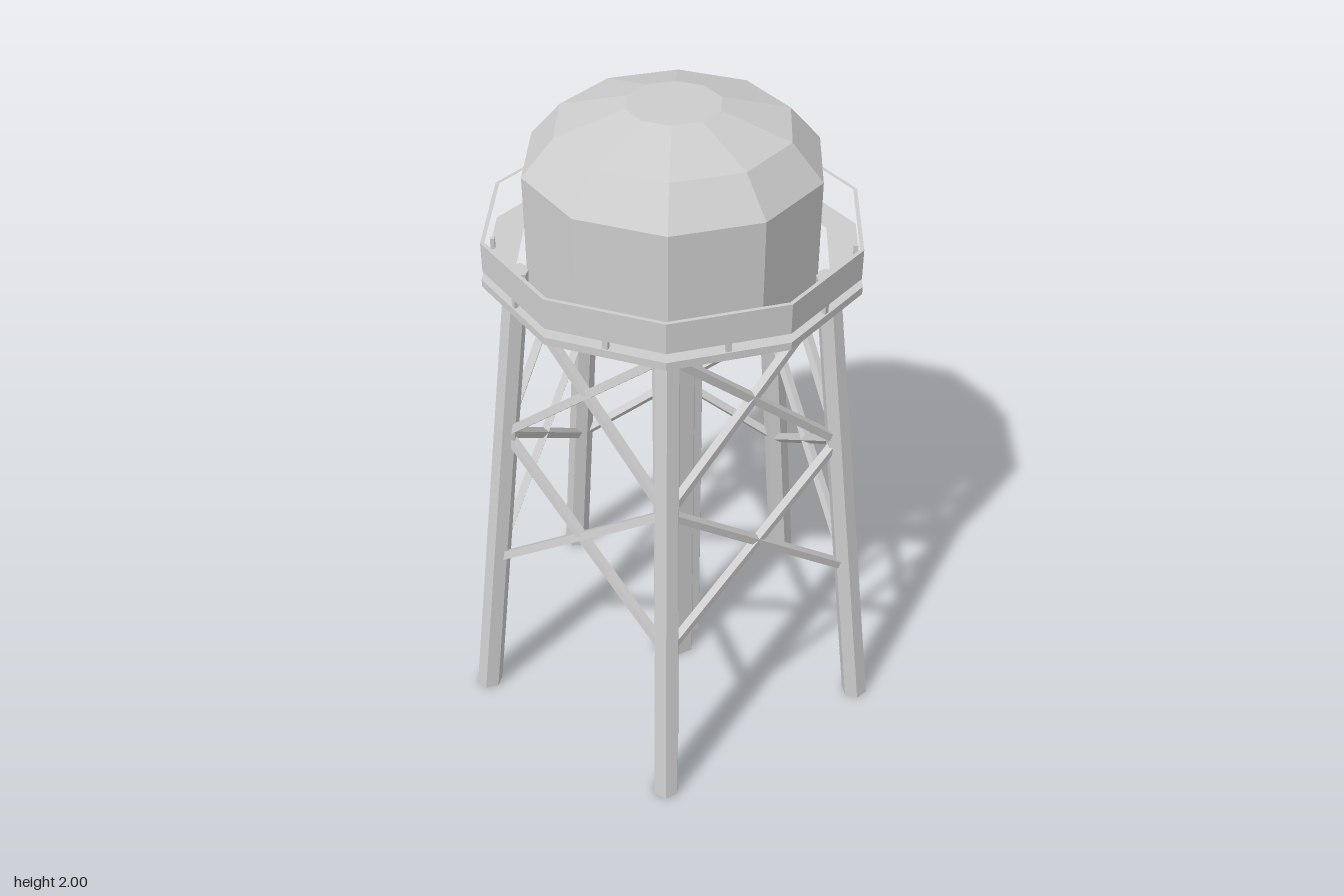
import * as THREE from 'three';

const AXIS_Z = -0.048;          // tower axis
const LEG_TOP = 1.56;

export function createModel() {
  const tower = new THREE.Group();
  tower.name = 'waterTower';
  const metal = new THREE.MeshStandardMaterial({ color: 0xcccccc, flatShading: true });
  metal.name = 'paintedMetal';

  const body = new THREE.Group();
  body.name = 'towerBody';
  body.position.z = AXIS_Z;
  tower.add(body);

  const add = (name, geometry, parent = body) => {
    const mesh = new THREE.Mesh(geometry, metal);
    mesh.name = name;
    parent.add(mesh);
    return mesh;
  };
  const group = (name) => {
    const g = new THREE.Group();
    g.name = name;
    body.add(g);
    return g;
  };
  const polar = (radius, angle, y) =>
    new THREE.Vector3(radius * Math.sin(angle), y, radius * Math.cos(angle));

  // Ten-sided tank with faceted dome and bowl
  const profile = [
    [0, 1.345], [0.133, 1.345], [0.33, 1.403], [0.42, 1.505],
    [0.42, 1.84], [0.33, 1.942], [0.133, 2], [0, 2],
  ].map(([r, y]) => new THREE.Vector2(r, y));
  add('tank', new THREE.LatheGeometry(profile, 10));

  // Ten-sided flat rings for the walkway and its railing
  const decagon = (radius, Type) => {
    const points = [];
    for (let i = 0; i < 10; i++) {
      const p = polar(radius, i * Math.PI / 5, 0);
      points.push(new THREE.Vector2(p.x, p.z));
    }
    return new Type(points);
  };
  const ring = (name, outer, inner, y0, y1) => {
    const shape = decagon(outer, THREE.Shape);
    shape.holes.push(decagon(inner, THREE.Path));
    const geometry = new THREE.ExtrudeGeometry(shape, { depth: y1 - y0, bevelEnabled: false });
    geometry.rotateX(-Math.PI / 2).translate(0, y0, 0);
    add(name, geometry);
  };
  ring('walkway', 0.547, 0.457, 1.522, 1.545);
  ring('railing', 0.543, 0.531, 1.57, 1.66);

  // Short posts holding the railing above the walkway
  const posts = group('railingPosts');
  for (let i = 0; i < 10; i++) {
    const angle = (i + 0.5) * Math.PI / 5;
    const post = add('railingPost', new THREE.BoxGeometry(0.015, 0.04, 0.012), posts);
    post.position.copy(polar(0.51, angle, 1.557));
    post.rotation.y = angle;
  }

  // Leaning six-sided legs, cut level at both ends
  const legRadius = (y) => THREE.MathUtils.lerp(0.632, 0.448, y / LEG_TOP);
  const legAngle = (i) => i * Math.PI * 2 / 5;
  const legs = group('legs');
  for (let i = 0; i < 5; i++) {
    const geometry = new THREE.CylinderGeometry(0.036, 0.041, LEG_TOP, 6);
    geometry.translate(0, LEG_TOP / 2, 0);
    const p = geometry.attributes.position;
    for (let k = 0; k < p.count; k++) p.setZ(k, p.getZ(k) + legRadius(p.getY(k)));
    geometry.computeVertexNormals();
    add('leg', geometry, legs).rotation.y = legAngle(i);
  }

  // Crossed braces in two tiers between neighbouring legs
  const braces = group('braces');
  const up = new THREE.Vector3(0, 1, 0);
  const brace = (a, b) => {
    const span = b.clone().sub(a);
    const mesh = add('brace', new THREE.CylinderGeometry(0.017, 0.017, span.length(), 4), braces);
    mesh.position.copy(a).lerp(b, 0.5);
    mesh.quaternion.setFromUnitVectors(up, span.normalize());
  };
  for (let i = 0; i < 5; i++) {
    for (const [low, high] of [[0.53, 1.01], [1.01, 1.5]]) {
      const at = (leg, y) => polar(legRadius(y), legAngle(leg), y);
      brace(at(i, low), at(i + 1, high));
      brace(at(i, high), at(i + 1, low));
    }
  }

  // Central riser and the thinner drain pipe beside it
  add('riserPipe', new THREE.CylinderGeometry(0.072, 0.072, 1.38, 6)).position.y = 0.69;
  add('drainPipe', new THREE.CylinderGeometry(0.03, 0.03, 1.38, 6)).position.set(0.058, 0.69, -0.08);

  return tower;
}
